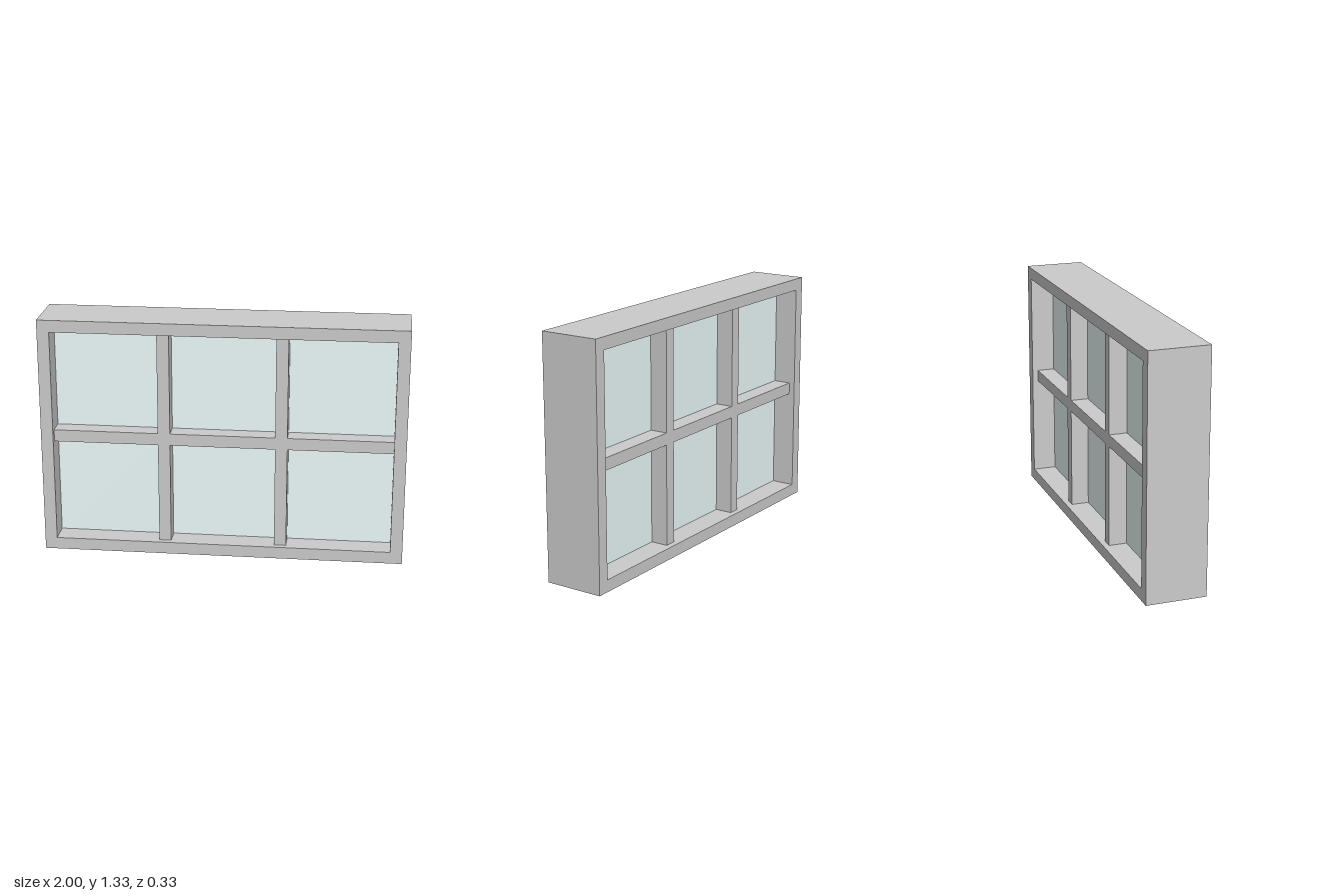
import * as THREE from 'three';

const W = 2, H = 1.334, BAR = 0.0667;
const FRAME_DEPTH = 0.333, GRILLE_DEPTH = 0.267, GLASS_DEPTH = 0.067;
const COLS = 3, ROWS = 2;

// Draw a rectangle from its lower left corner
function rect(path, x, y, w, h) {
  path.moveTo(x, y);
  path.lineTo(x + w, y);
  path.lineTo(x + w, y + h);
  path.lineTo(x, y + h);
  path.closePath();
  return path;
}

// Extrude a shape, centred on z = 0
function slab(shape, depth) {
  return new THREE.ExtrudeGeometry(shape, { depth, bevelEnabled: false }).translate(0, 0, -depth / 2);
}

export function createModel() {
  const group = new THREE.Group();
  const grey = new THREE.MeshStandardMaterial({ color: 0xcccccc });
  const glass = new THREE.MeshStandardMaterial({ color: 0xecfbfa });

  const add = (name, geometry, material) => {
    const mesh = new THREE.Mesh(geometry, material);
    mesh.name = name;
    group.add(mesh);
  };

  // Opening inside the outer frame
  const innerW = W - 2 * BAR, innerH = H - 2 * BAR;
  const left = -innerW / 2, bottom = BAR;

  // Outer frame
  const frame = rect(new THREE.Shape(), -W / 2, 0, W, H);
  frame.holes.push(rect(new THREE.Path(), left, bottom, innerW, innerH));
  add('frame', slab(frame, FRAME_DEPTH), grey);

  // Glazing bars: one upright grid, slightly recessed, with a hole per pane
  const paneW = (innerW - (COLS - 1) * BAR) / COLS;
  const paneH = (innerH - (ROWS - 1) * BAR) / ROWS;
  const barShape = (x, y, w, h) => rect(new THREE.Shape(), x, y, w, h);
  const outline = new THREE.Shape();
  // Stepped outline so the bars meet the frame only at their ends
  const cx = [], cy = [];
  for (let i = 1; i < COLS; i++) cx.push(left + i * paneW + (i - 1) * BAR);
  for (let j = 1; j < ROWS; j++) cy.push(bottom + j * paneH + (j - 1) * BAR);
  const right = left + innerW, top = bottom + innerH, y0 = cy[0], y1 = y0 + BAR;
  outline.moveTo(left, y0);
  for (const x of cx) {
    outline.lineTo(x, y0);
    outline.lineTo(x, bottom);
    outline.lineTo(x + BAR, bottom);
    outline.lineTo(x + BAR, y0);
  }
  outline.lineTo(right, y0);
  outline.lineTo(right, y1);
  for (const x of [...cx].reverse()) {
    outline.lineTo(x + BAR, y1);
    outline.lineTo(x + BAR, top);
    outline.lineTo(x, top);
    outline.lineTo(x, y1);
  }
  outline.lineTo(left, y1);
  outline.closePath();
  add('glazingBars', slab(outline, GRILLE_DEPTH), grey);

  // Glass panes
  for (let i = 0; i < COLS; i++) {
    for (let j = 0; j < ROWS; j++) {
      const pane = barShape(left + i * (paneW + BAR), bottom + j * (paneH + BAR), paneW, paneH);
      add('glassPane', slab(pane, GLASS_DEPTH), glass);
    }
  }
  return group;
}
